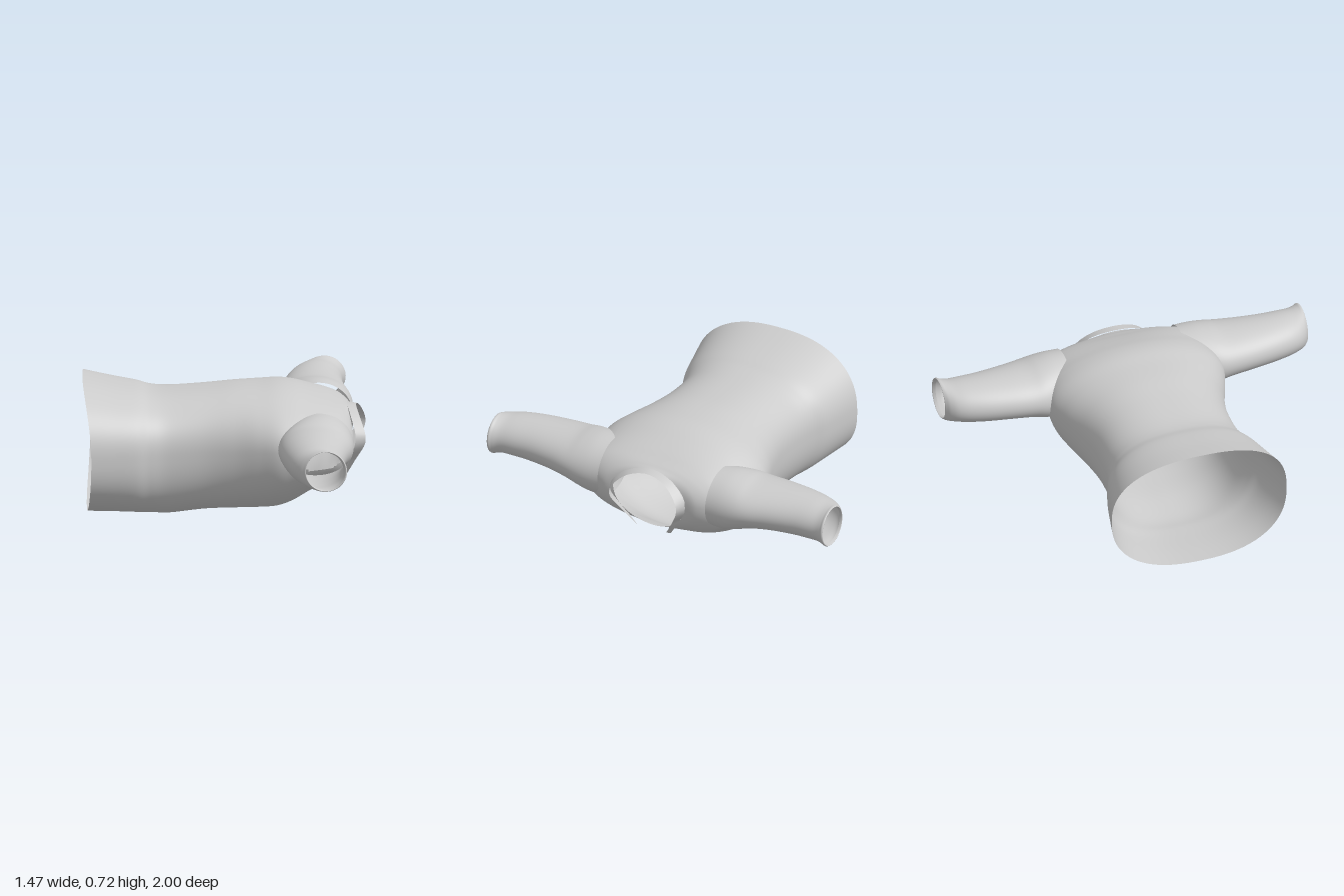
import * as THREE from 'three';

const material = new THREE.MeshStandardMaterial({ color: 0xcccccc, side: THREE.DoubleSide });
const TAU = Math.PI * 2;
const power = (v, e) => Math.sign(v) * Math.pow(Math.abs(v), e);

// Smoothly resamples a table of rows (monotone-ish cubic through every row)
function resample(rows, steps) {
  const out = [];
  const last = rows.length - 1;
  for (let i = 0; i < last; i++) {
    const [a, b, c, d] = [rows[Math.max(i - 1, 0)], rows[i], rows[i + 1], rows[Math.min(i + 2, last)]];
    for (let s = 0; s < steps; s++) {
      const t = s / steps;
      out.push(b.map((v, k) => v + 0.5 * t * (c[k] - a[k]
        + t * (2 * a[k] - 5 * v + 4 * c[k] - d[k] + t * (3 * (v - c[k]) + d[k] - a[k])))));
    }
  }
  out.push(rows[last]);
  return out;
}

// Skins a list of rings; faces whose centre satisfies skip() are left open
function loft(name, rings, closed = true, skip = () => false) {
  const n = rings[0].length;
  const points = rings.flat();
  const index = [];
  for (let i = 0; i < rings.length - 1; i++) {
    for (let j = 0; j < (closed ? n : n - 1); j++) {
      const k = (j + 1) % n;
      const a = i * n + j, b = i * n + k, c = a + n, d = b + n;
      const centre = points[a].clone().add(points[d]).multiplyScalar(0.5);
      if (!skip(centre)) index.push(a, b, d, a, d, c);
    }
  }
  const geometry = new THREE.BufferGeometry().setFromPoints(points);
  geometry.setIndex(index);
  geometry.computeVertexNormals();
  const mesh = new THREE.Mesh(geometry, material);
  mesh.name = name;
  return mesh;
}

// Torso: [x side, x top, x bottom, y bottom, y top, y centre, half width, roundness]
function makeTorso() {
  const rows = [
    [-0.69, -0.735, -0.712, 0.025, 0.72, 0.37, 0.482, 2.4],
    [-0.58, -0.6, -0.59, 0.02, 0.692, 0.37, 0.457, 2.4],
    [-0.46, -0.46, -0.46, 0.012, 0.667, 0.37, 0.427, 2.4],
    [-0.38, -0.38, -0.38, 0.008, 0.648, 0.37, 0.395, 2.4],
    [-0.28, -0.28, -0.28, 0.003, 0.645, 0.37, 0.372, 2.4],
    [-0.1, -0.1, -0.1, 0.024, 0.657, 0.38, 0.371, 2.4],
    [0.05, 0.05, 0.05, 0.03, 0.671, 0.39, 0.4, 2.3],
    [0.18, 0.18, 0.18, 0.034, 0.676, 0.41, 0.445, 2.2],
    [0.28, 0.28, 0.28, 0.042, 0.68, 0.42, 0.478, 2.1],
    [0.36, 0.36, 0.36, 0.072, 0.67, 0.43, 0.477, 2.1],
    [0.44, 0.44, 0.44, 0.125, 0.646, 0.43, 0.466, 2.2],
    [0.53, 0.52, 0.5, 0.168, 0.617, 0.43, 0.45, 2.4],
    [0.605, 0.57, 0.55, 0.195, 0.595, 0.43, 0.42, 2.5],
    [0.65, 0.605, 0.58, 0.208, 0.58, 0.43, 0.35, 2.4],
    [0.675, 0.625, 0.6, 0.217, 0.57, 0.43, 0.275, 2.2],
    [0.675, 0.645, 0.622, 0.223, 0.563, 0.43, 0.213, 1.9],
  ];
  const n = 144;
  const rings = resample(rows, 8).map(([xs, xt, xb, yb, yt, yc, zh, r]) =>
    Array.from({ length: n }, (_, j) => {
      const a = j / n * TAU;
      const s = power(Math.sin(a), 2 / r), c = power(Math.cos(a), 2 / r);
      const x = xs + ((s > 0 ? xt : xb) - xs) * s * s;
      return new THREE.Vector3(x, yc + s * (s > 0 ? yt - yc : yc - yb), 0.012 + c * zh);
    }));
  // Armholes are left open so that the sleeves are hollow right through
  const inArmhole = p => Math.abs(p.z) > 0.25
    && ((p.x - 0.49) / 0.155) ** 2 + ((p.y - 0.44) / 0.125) ** 2 < 1;
  return loft('torso', rings, true, inArmhole);
}

// Sleeve: [z, x back, x front, y bottom, y top]
function makeSleeve(side) {
  const rows = [
    [0.32, 0.32, 0.672, 0.275, 0.592],
    [0.4, 0.3, 0.676, 0.275, 0.594],
    [0.47, 0.285, 0.674, 0.293, 0.587],
    [0.54, 0.284, 0.665, 0.317, 0.575],
    [0.65, 0.293, 0.643, 0.332, 0.571],
    [0.78, 0.313, 0.625, 0.34, 0.568],
    [0.88, 0.338, 0.622, 0.345, 0.564],
    [0.94, 0.363, 0.624, 0.349, 0.559],
    [0.975, 0.39, 0.633, 0.346, 0.56],
    [0.992, 0.411, 0.64, 0.345, 0.563],
    [1.0, 0.424, 0.634, 0.35, 0.56],
    [0.985, 0.425, 0.622, 0.354, 0.555],
  ];
  const n = 64;
  const rings = resample(rows, 5).map(([z, x0, x1, y0, y1]) =>
    Array.from({ length: n }, (_, j) => {
      const a = -side * j / n * TAU;
      return new THREE.Vector3(
        (x0 + x1) / 2 + Math.cos(a) * (x1 - x0) / 2,
        (y0 + y1) / 2 + Math.sin(a) * (y1 - y0) / 2,
        side * Math.min(z, 1));
    }));
  return loft(side > 0 ? 'frontSleeve' : 'backSleeve', rings);
}

// Collar: a narrow stand-up band, open at the throat
function makeCollar() {
  const band = half => {
    const mirrored = half.slice(0, -1).reverse().map(([x, y, z]) => [x, y, -z]);
    const path = [...half, ...mirrored].map(([x, y, z]) => new THREE.Vector3(x, y, z + 0.015));
    return new THREE.CatmullRomCurve3(path).getPoints(80);
  };
  const base = band([[0.617, 0.198, 0.1], [0.645, 0.3, 0.165], [0.683, 0.4, 0.22],
    [0.685, 0.46, 0.215], [0.662, 0.535, 0.14], [0.642, 0.57, 0]]);
  const rim = band([[0.642, 0.213, 0.088], [0.685, 0.3, 0.142], [0.737, 0.405, 0.197],
    [0.737, 0.45, 0.195], [0.708, 0.53, 0.12], [0.69, 0.563, 0]]);
  return loft('collar', [base, rim], false);
}

export function createModel() {
  const shirt = new THREE.Group();
  shirt.name = 'shirt';
  shirt.add(makeTorso(), makeSleeve(1), makeSleeve(-1), makeCollar());
  return shirt;
}
